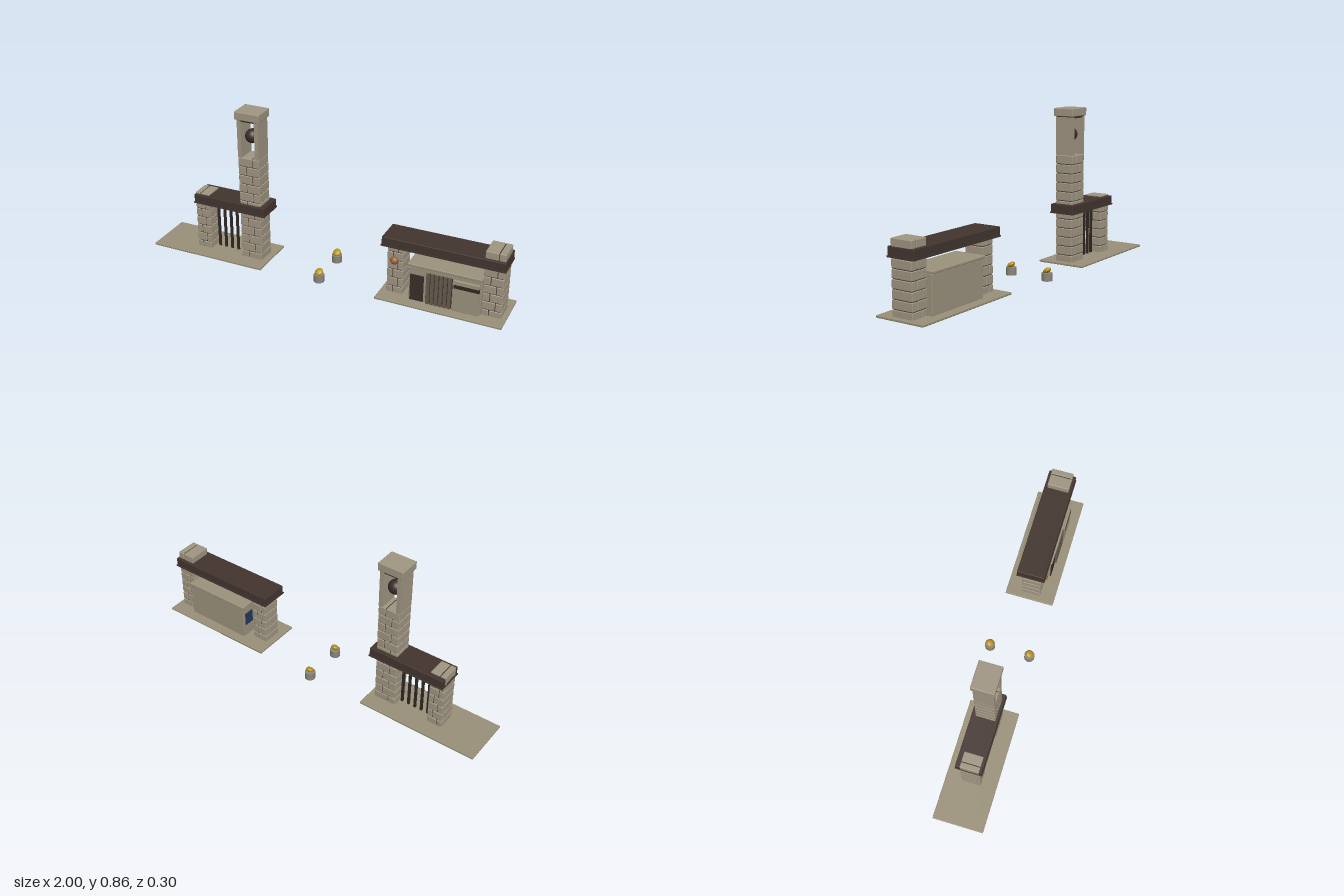
import * as THREE from 'three';
import { RoundedBoxGeometry } from 'three/addons/geometries/RoundedBoxGeometry.js';

const mat = (color) => new THREE.MeshStandardMaterial({ color });
const STONE = mat(0xa09582), PAVING = mat(0x999078), TIMBER = mat(0x43352f), DARK = mat(0x3a2d29);
const SLAT = mat(0x655c4e), IRON = mat(0x2f2824), PANEL = mat(0x9c927d), BLUE = mat(0x22395c);
const CONCRETE = mat(0x8c867a), GOLD = mat(0xb8921f), AMBER = mat(0x9a6238);

function add(parent, name, geometry, material, x = 0, y = 0, z = 0) {
  const mesh = new THREE.Mesh(geometry, material);
  mesh.name = name;
  mesh.position.set(x, y, z);
  parent.add(mesh);
  return mesh;
}

// Box given by its limits, optionally with softened edges
function span(parent, name, material, [x0, x1], [y0, y1], [z0, z1], bevel = 0) {
  const w = x1 - x0, h = y1 - y0, d = z1 - z0;
  const geometry = bevel ? new RoundedBoxGeometry(w, h, d, 2, bevel) : new THREE.BoxGeometry(w, h, d);
  return add(parent, name, geometry, material, (x0 + x1) / 2, (y0 + y1) / 2, (z0 + z1) / 2);
}

function group(parent, name) {
  const g = new THREE.Group();
  g.name = name;
  parent.add(g);
  return g;
}

// Pillar of full-depth blocks, the joint shifting from course to course
function pillar(parent, name, [x0, x1], top, [z0, z1], rows) {
  const g = group(parent, name);
  const h = top / rows, gap = 0.003;
  span(g, 'mortarCore', DARK, [x0 + 0.005, x1 - 0.005], [0.005, top - 0.005], [z0 + 0.005, z1 - 0.005]);
  for (let i = 0; i < rows; i++) {
    const joint = x0 + (x1 - x0) * (i % 2 ? 0.66 : 0.36);
    const y = [Math.max(i * h, 0.004), (i + 1) * h - gap];
    span(g, 'block', STONE, [x0, joint - gap / 2], y, [z0, z1], 0.004);
    span(g, 'block', STONE, [joint + gap / 2, x1], y, [z0, z1], 0.004);
  }
  return g;
}

// Dark roof beam with a projecting lower lip
function beam(parent, [x0, x1], [z0, z1]) {
  const g = group(parent, 'roofBeam');
  span(g, 'beamBody', TIMBER, [x0 + 0.003, x1 - 0.003], [0.288, 0.335], [z0 + 0.003, z1 - 0.003], 0.003);
  span(g, 'beamLip', TIMBER, [x0, x1], [0.284, 0.291], [z0, z1]);
}

function bellTower(root) {
  const g = group(root, 'bellTowerGate');
  span(g, 'paving', PAVING, [-1, -0.33], [0, 0.012], [-0.13, 0.147], 0.003);
  pillar(g, 'gatePillar', [-0.765, -0.68], 0.345, [-0.04, 0.062], 7);
  pillar(g, 'towerShaft', [-0.487, -0.364], 0.606, [-0.042, 0.063], 12);
  beam(g, [-0.767, -0.333], [-0.067, 0.08]);

  // Gate bars
  for (let i = 0; i < 5; i++) {
    const x = -0.655 + i * 0.0385;
    span(g, 'gateBar', IRON, [x - 0.006, x + 0.006], [0.01, 0.29], [0.004, 0.016]);
  }

  // Open belfry with cap and bell
  for (const s of [-1, 1]) {
    const x = -0.4255 + s * 0.05;
    span(g, 'belfryWall', STONE, [x - 0.011, x + 0.011], [0.604, 0.812], [-0.042, 0.063]);
  }
  span(g, 'belfryLintel', DARK, [-0.485, -0.366], [0.806, 0.818], [-0.04, 0.061]);
  span(g, 'towerCap', STONE, [-0.497, -0.354], [0.816, 0.86], [-0.049, 0.071], 0.004);
  add(g, 'bell', new THREE.SphereGeometry(0.039, 24, 16), DARK, -0.4255, 0.715, 0.01);
}

function kiosk(root) {
  const g = group(root, 'shelter');
  span(g, 'paving', PAVING, [0.33, 1], [0, 0.012], [-0.13, 0.147], 0.003);
  pillar(g, 'smallPillar', [0.364, 0.45], 0.3, [-0.042, 0.063], 6);
  pillar(g, 'tallPillar', [0.872, 0.975], 0.376, [-0.05, 0.071], 8);
  beam(g, [0.336, 0.984], [-0.07, 0.089]);
  add(g, 'lantern', new THREE.SphereGeometry(0.021, 20, 14), AMBER, 0.405, 0.205, 0.07);

  // Cabinet and counter top
  span(g, 'cabinet', PANEL, [0.493, 0.872], [0.01, 0.207], [-0.078, 0.084], 0.004);
  span(g, 'counterTop', PANEL, [0.484, 0.874], [0.207, 0.221], [-0.087, 0.093], 0.004);
  span(g, 'doorPanel', DARK, [0.5, 0.572], [0.012, 0.16], [0.07, 0.089]);
  span(g, 'noticePanel', BLUE, [0.488, 0.5], [0.085, 0.16], [-0.062, -0.005]);

  // Vertical slats
  span(g, 'slatBacking', DARK, [0.584, 0.722], [0.012, 0.185], [0.07, 0.086]);
  for (let i = 0; i < 6; i++) {
    const x = 0.596 + i * 0.0228;
    span(g, 'slat', SLAT, [x - 0.008, x + 0.008], [0.012, 0.187], [0.08, 0.097]);
  }

  // Letter box with a dark slot
  span(g, 'letterBox', PANEL, [0.727, 0.862], [0.012, 0.185], [0.075, 0.099], 0.003);
  span(g, 'letterSlot', IRON, [0.733, 0.864], [0.143, 0.163], [0.085, 0.1005]);
}

// Bollard with a tilted spotlight on top
function bollard(root, z) {
  const g = group(root, 'bollardLight');
  g.position.z = z;
  add(g, 'bollard', new THREE.CylinderGeometry(0.028, 0.028, 0.041, 24), CONCRETE, 0, 0.0205, 0);
  const lamp = add(g, 'lamp', new THREE.SphereGeometry(0.022, 20, 14), GOLD, 0, 0.054, 0);
  lamp.scale.set(1, 0.6, 1.05);
  lamp.rotation.x = 0.55;
}

export function createModel() {
  const root = new THREE.Group();
  root.name = 'entranceGate';
  bellTower(root);
  kiosk(root);
  for (const z of [0.107, -0.12]) bollard(root, z);
  return root;
}
